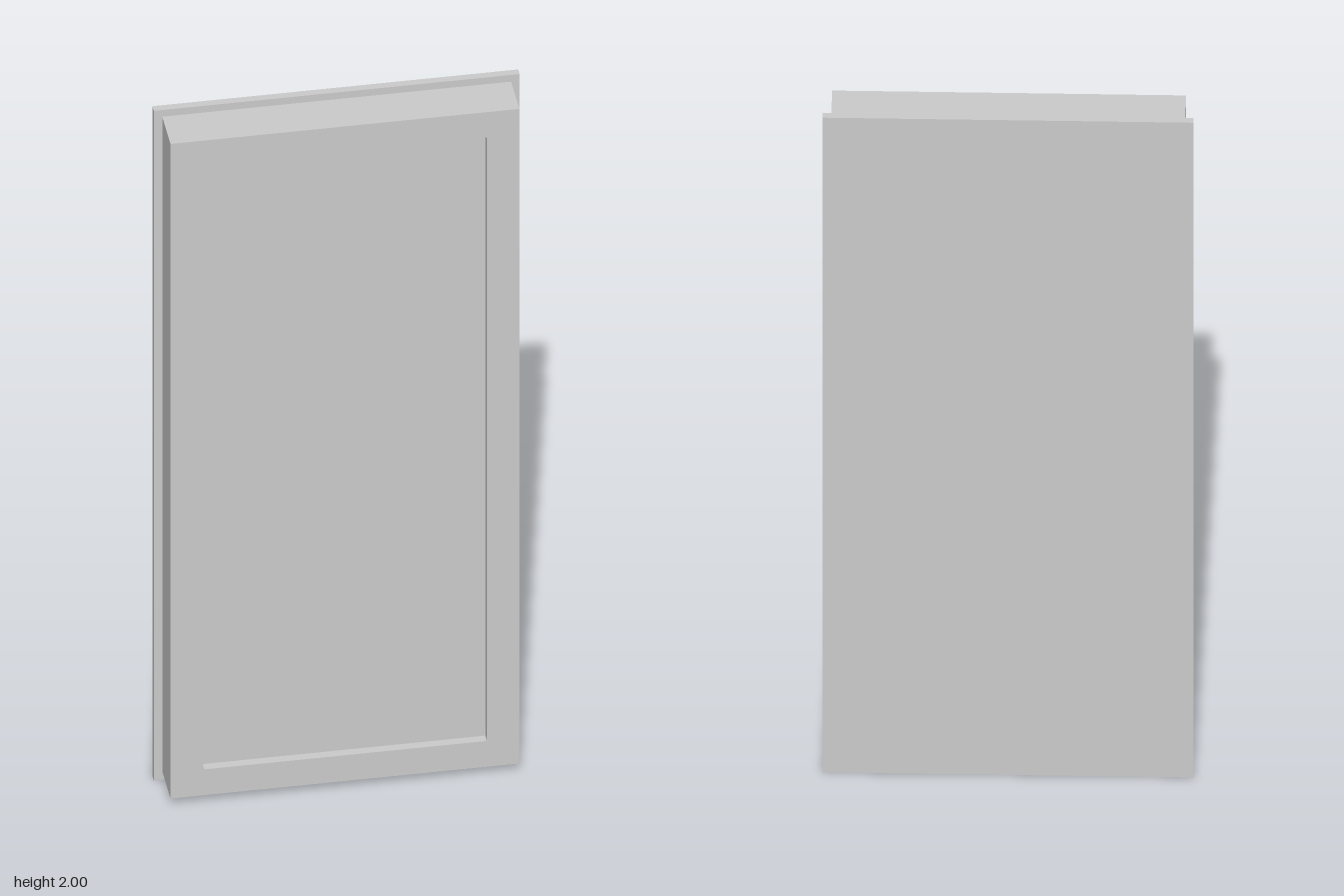
import * as THREE from 'three';

const material = new THREE.MeshStandardMaterial({ color: 0xcccccc });

// Rectangle outline with corners rounded by r (0 for sharp)
function rect(path, x, y0, y1, r = 0) {
  path.moveTo(-x + r, y0);
  path.lineTo(x - r, y0);
  if (r) path.quadraticCurveTo(x, y0, x, y0 + r);
  path.lineTo(x, y1 - r);
  if (r) path.quadraticCurveTo(x, y1, x - r, y1);
  path.lineTo(-x + r, y1);
  if (r) path.quadraticCurveTo(-x, y1, -x, y1 - r);
  path.lineTo(-x, y0 + r);
  if (r) path.quadraticCurveTo(-x, y0, -x + r, y0);
  path.closePath();
  return path;
}

// Extrudes a shape from z0 to z1
function slab(name, shape, z0, z1) {
  const geometry = new THREE.ExtrudeGeometry(shape, { depth: z1 - z0, bevelEnabled: false, curveSegments: 4 });
  geometry.translate(0, 0, z0);
  const mesh = new THREE.Mesh(geometry, material);
  mesh.name = name;
  return mesh;
}

export function createModel() {
  const model = new THREE.Group();
  model.name = 'framedPanel';

  const back = -0.069, step = -0.049, recess = 0.045, front = 0.068;
  const opening = [0.352, 0.102, 1.906, 0.006];

  // Wide thin plate at the back
  model.add(slab('backPlate', rect(new THREE.Shape(), 0.453, 0, 2), back, step));

  // Deep body behind the recess
  const outer = () => rect(new THREE.Shape(), 0.432, 0.025, 1.98);
  model.add(slab('body', outer(), step, recess));

  // Raised border around the shallow recessed face
  const border = outer();
  border.holes.push(rect(new THREE.Path(), ...opening));
  model.add(slab('frontFrame', border, recess, front));

  return model;
}
